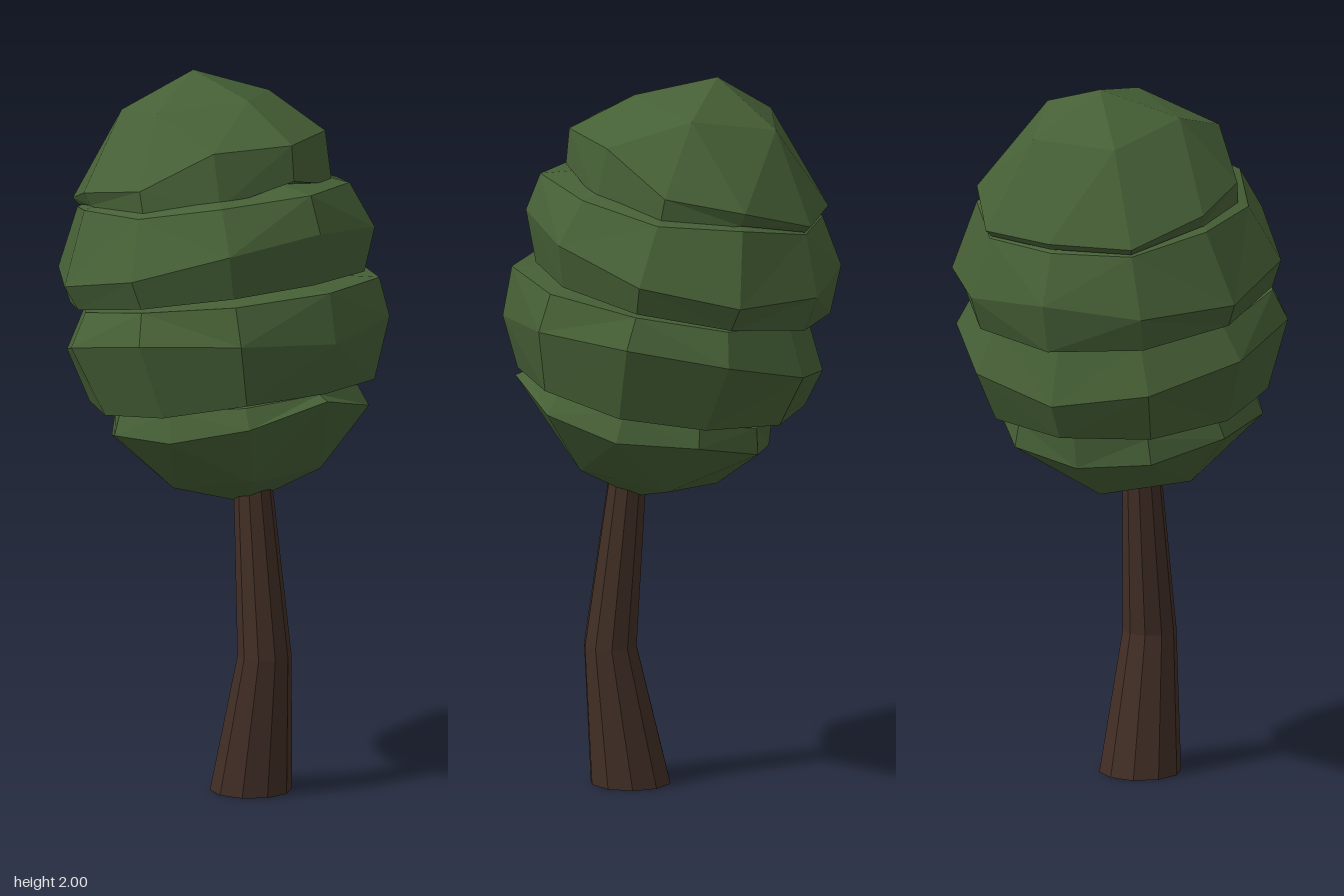
import * as THREE from 'three';

const SIDES = 10;
const AXIS_TILT = 0.19; // lean of the crown

const leafGreen = new THREE.MeshStandardMaterial({ color: 0x466036, flatShading: true });
leafGreen.name = 'leafGreen';
const barkBrown = new THREE.MeshStandardMaterial({ color: 0x412e25, flatShading: true });
barkBrown.name = 'barkBrown';

// Crown point: v along the leaning axis, r out from it
function crownPoint(r, angle, v) {
  const p = new THREE.Vector3(r * Math.cos(angle), v, r * Math.sin(angle));
  p.applyAxisAngle(new THREE.Vector3(0, 0, 1), AXIS_TILT);
  return p.add(new THREE.Vector3(-0.015, 1.405, 0));
}

// Ring from values at 0..180 degrees, mirrored front to back; a number means constant
function crownRing(r, v) {
  const at = (a, i) => (Array.isArray(a) ? a[Math.min(i, SIDES - i)] : a);
  return Array.from({ length: SIDES }, (_, i) => crownPoint(at(r, i), (i / SIDES) * Math.PI * 2, at(v, i)));
}

// Pentagon ring: every second point lies midway along a pentagon edge
function pentagonRing(radius, v, cornerParity) {
  const inner = radius * Math.cos(Math.PI / 5);
  return crownRing([0, 1, 2, 3, 4, 5].map((i) => (i % 2 === cornerParity ? radius : inner)), v);
}

// Faceted skin over rings ordered top to bottom, with optional end points
function loft(name, rings, material, top, bottom) {
  const pos = [];
  const tri = (...pts) => pts.forEach((p) => pos.push(p.x, p.y, p.z));
  const last = rings[rings.length - 1];
  for (let i = 0; i < SIDES; i++) {
    const j = (i + 1) % SIDES;
    if (top) tri(top, rings[0][j], rings[0][i]);
    for (let k = 0; k < rings.length - 1; k++) {
      const a = rings[k], b = rings[k + 1];
      if (i % 2 === 0) {
        tri(a[i], a[j], b[j]);
        tri(a[i], b[j], b[i]);
      } else {
        tri(a[i], a[j], b[i]);
        tri(a[j], b[j], b[i]);
      }
    }
    if (bottom) tri(bottom, last[i], last[j]);
  }
  const geo = new THREE.BufferGeometry();
  geo.setAttribute('position', new THREE.Float32BufferAttribute(pos, 3));
  geo.computeVertexNormals();
  const mesh = new THREE.Mesh(geo, material);
  mesh.name = name;
  return mesh;
}

export function createModel() {
  const tree = new THREE.Group();
  tree.name = 'tree';

  // Bent, tapering trunk
  const trunkRing = (x, y, r) => Array.from({ length: SIDES }, (_, i) => {
    const a = ((i + 0.5) / SIDES) * Math.PI * 2;
    return new THREE.Vector3(x + r * Math.cos(a), y, r * Math.sin(a));
  });
  tree.add(loft('trunk',
    [trunkRing(0.118, 0.88, 0.053), trunkRing(0.167, 0.39, 0.075), trunkRing(0.111, 0, 0.114)],
    barkBrown, null, new THREE.Vector3(0.111, 0, 0)));

  // Crown of four overlapping leaf layers
  const crown = new THREE.Group();
  crown.name = 'crown';
  tree.add(crown);

  crown.add(loft('topLeaves', [
    pentagonRing(0.216, 0.515, 0),
    crownRing([0.376, 0.35, 0.36, 0.37, 0.385, 0.37], [0.39, 0.4, 0.318, 0.318, 0.285, 0.3]),
    crownRing([0.366, 0.35, 0.355, 0.355, 0.37, 0.36], [0.29, 0.25, 0.215, 0.28, 0.265, 0.28]),
    crownRing(0.28, [0.28, 0.25, 0.22, 0.26, 0.25, 0.26]),
  ], leafGreen, crownPoint(0, 0, 0.605)));

  crown.add(loft('upperLeaves', [
    crownRing(0.28, 0.29),
    crownRing([0.43, 0.4, 0.385, 0.375, 0.375, 0.36], [0.25, 0.25, 0.245, 0.27, 0.26, 0.268]),
    crownRing([0.45, 0.455, 0.462, 0.462, 0.45, 0.437], [0.142, 0.12, 0.08, 0.07, 0.1, 0.14]),
    crownRing([0.395, 0.41, 0.43, 0.43, 0.43, 0.433], 0),
    crownRing(0.32, 0),
  ], leafGreen));

  crown.add(loft('lowerLeaves', [
    crownRing(0.32, 0),
    crownRing([0.458, 0.45, 0.43, 0.41, 0.38, 0.365], [-0.023, -0.02, -0.01, -0.01, 0, -0.006]),
    crownRing([0.456, 0.465, 0.465, 0.465, 0.455, 0.443], [-0.165, -0.13, -0.1, -0.1, -0.13, -0.163]),
    crownRing([0.388, 0.4, 0.39, 0.39, 0.41, 0.413], [-0.303, -0.3, -0.31, -0.3, -0.28, -0.27]),
    crownRing(0.28, -0.3),
  ], leafGreen));

  crown.add(loft('bottomLeaves', [
    crownRing(0.28, -0.29),
    crownRing([0.36, 0.35, 0.345, 0.345, 0.34, 0.33], [-0.305, -0.31, -0.3, -0.3, -0.31, -0.307]),
    crownRing([0.39, 0.375, 0.37, 0.37, 0.36, 0.337], [-0.325, -0.37, -0.385, -0.36, -0.38, -0.397]),
    pentagonRing(0.216, -0.53, 1),
  ], leafGreen, null, crownPoint(0, 0, -0.605)));

  return tree;
}
